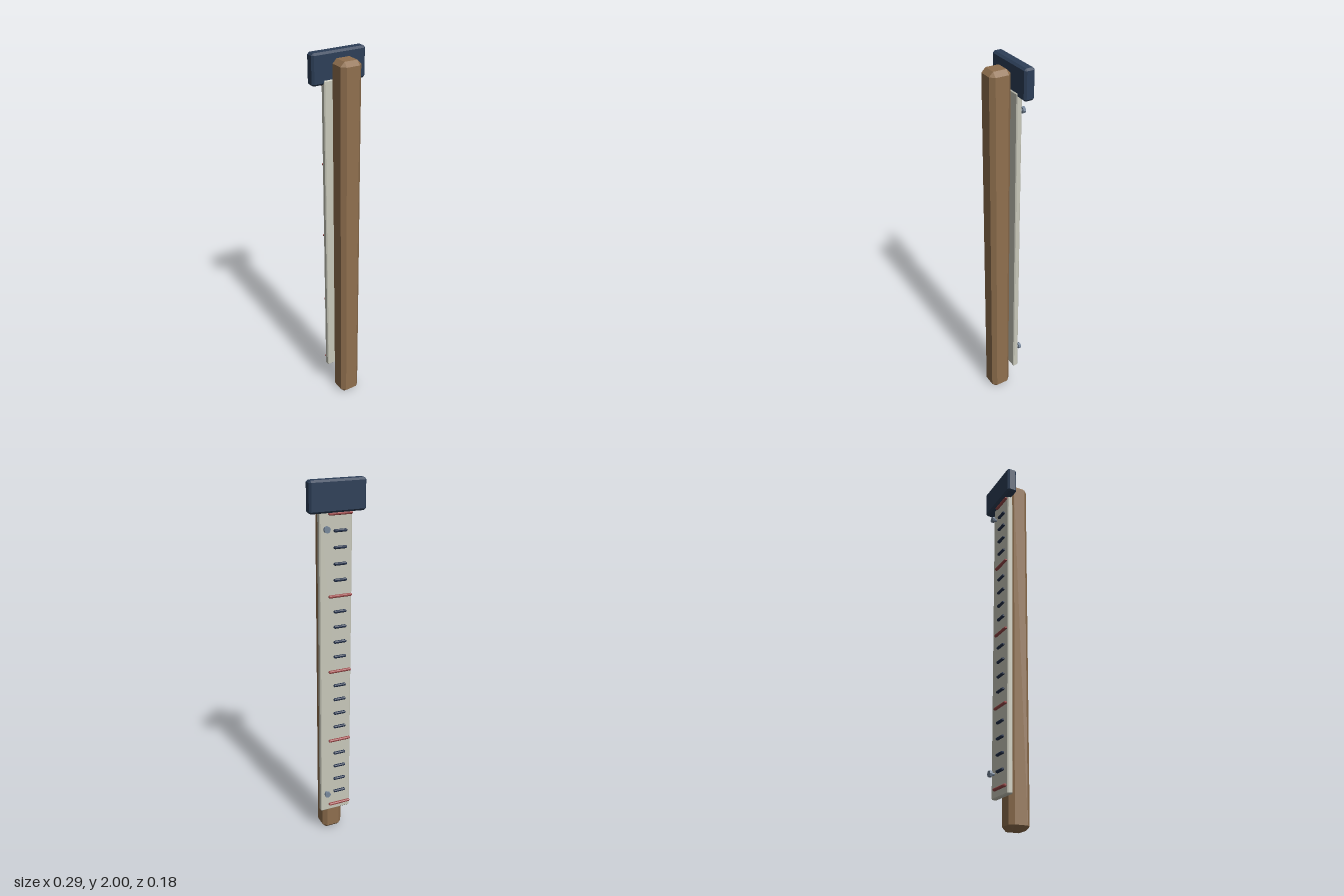
import * as THREE from 'three';
import { ConvexGeometry } from 'three/addons/geometries/ConvexGeometry.js';

const mat = (color) => new THREE.MeshStandardMaterial({ color, flatShading: true });

// Box with every edge cut at 45 degrees by c
function chamferBox(w, h, d, c) {
  const pts = [];
  for (const x of [-w / 2, w / 2]) for (const y of [-h / 2, h / 2]) for (const z of [-d / 2, d / 2]) {
    const sx = c * Math.sign(x), sy = c * Math.sign(y), sz = c * Math.sign(z);
    pts.push(new THREE.Vector3(x, y - sy, z - sz));
    pts.push(new THREE.Vector3(x - sx, y, z - sz));
    pts.push(new THREE.Vector3(x - sx, y - sy, z));
  }
  return new ConvexGeometry(pts);
}

export function createModel() {
  const model = new THREE.Group();
  model.name = 'gaugePost';
  const add = (parent, name, geometry, material, x, y, z) => {
    const mesh = new THREE.Mesh(geometry, material);
    mesh.name = name;
    mesh.position.set(x, y, z);
    parent.add(mesh);
    return mesh;
  };

  const wood = mat(0x8f6f4e), navy = mat(0x2c3e57), ivory = mat(0xc8c8ba);
  const ink = mat(0x22304a), red = mat(0x9c4a4a), steel = mat(0x76869a);

  // Wooden post, measuring board behind it and header plate
  add(model, 'post', chamferBox(0.113, 1.97, 0.113, 0.022), wood, 0, 0.985, 0.03);
  add(model, 'gaugeBoard', chamferBox(0.174, 1.71, 0.03, 0.005), ivory, 0, 1.01, -0.044);
  add(model, 'headerPlate', chamferBox(0.294, 0.155, 0.055, 0.01), navy, 0, 1.92, -0.061);

  // Scale marks, every fifth one long and red
  const marks = new THREE.Group();
  marks.name = 'scaleMarks';
  model.add(marks);
  const longMark = chamferBox(0.125, 0.014, 0.016, 0.004);
  const shortMark = chamferBox(0.068, 0.014, 0.016, 0.004);
  for (let i = 0; i <= 20; i++) {
    const major = i % 5 === 0;
    add(marks, major ? 'longMark' : 'shortMark', major ? longMark : shortMark,
      major ? red : ink, -0.02, 0.195 + i * 0.082, -0.067);
  }

  // Bolts near both ends of the board
  const head = new THREE.CylinderGeometry(0.017, 0.017, 0.014, 8).rotateX(Math.PI / 2);
  const shank = new THREE.CylinderGeometry(0.008, 0.008, 0.02, 8).rotateX(Math.PI / 2);
  for (const y of [0.275, 1.765]) {
    const bolt = new THREE.Group();
    bolt.name = 'bolt';
    bolt.position.set(0.057, y, 0);
    model.add(bolt);
    add(bolt, 'boltHead', head, steel, 0, 0, -0.082);
    add(bolt, 'boltShank', shank, steel, 0, 0, -0.067);
  }
  return model;
}
